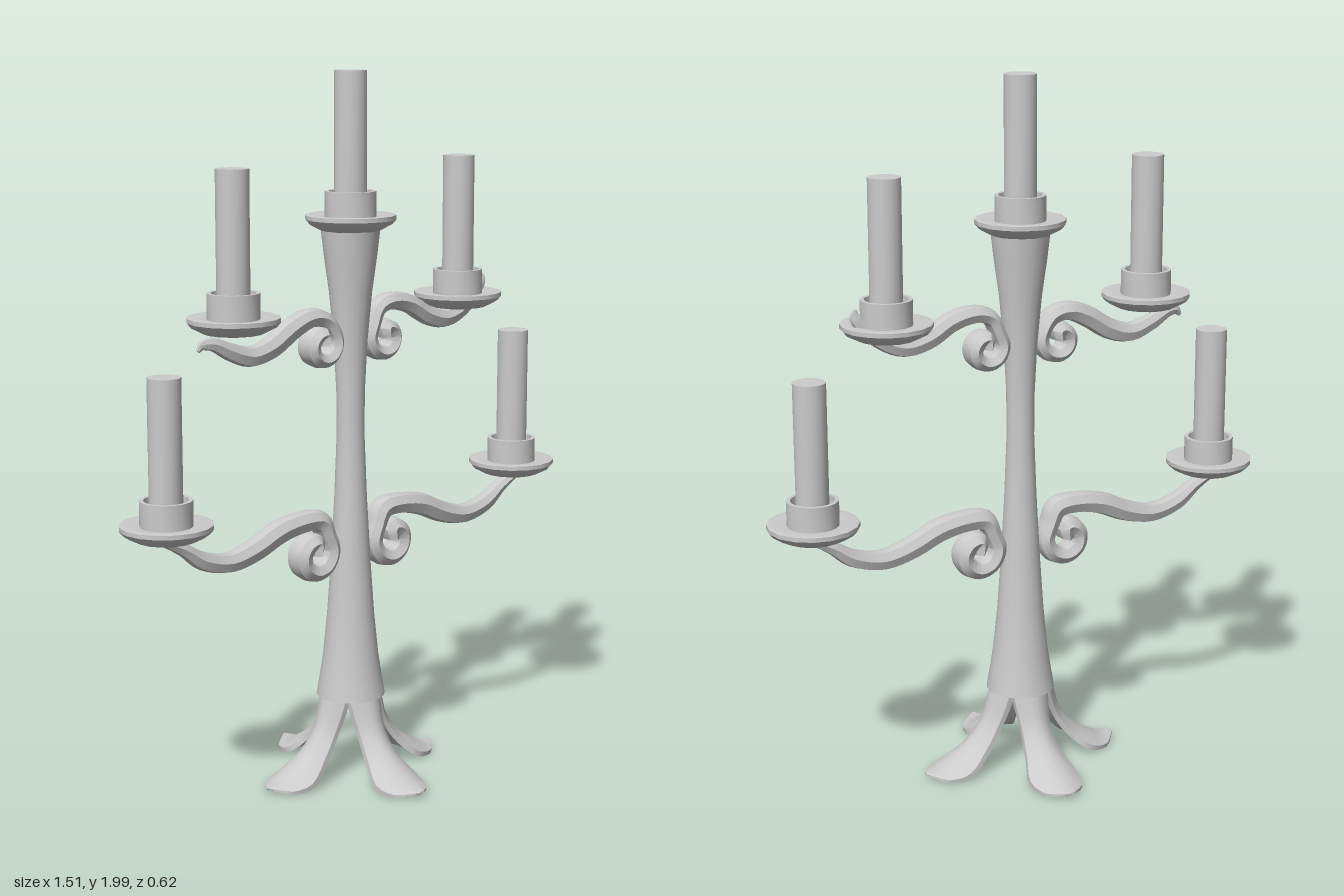
import * as THREE from 'three';
import { toCreasedNormals } from 'three/addons/utils/BufferGeometryUtils.js';

const mat = new THREE.MeshStandardMaterial({ color: 0xcccccc });
const V = (x, y, z = 0) => new THREE.Vector3(x, y, z);

function mesh(name, geo, crease = 0.6) {
  const m = new THREE.Mesh(toCreasedNormals(geo, crease), mat);
  m.name = name;
  return m;
}

function lathe(name, pts, segments) {
  return mesh(name, new THREE.LatheGeometry(pts.map(p => new THREE.Vector2(...p)), segments));
}

// Closed skin over a list of rings (arrays of Vector3), capped at both ends
function loft(rings) {
  const n = rings[0].length, pos = [], idx = [];
  rings.forEach(r => r.forEach(p => pos.push(p.x, p.y, p.z)));
  for (let i = 0; i < rings.length - 1; i++)
    for (let j = 0; j < n; j++) {
      const k = (j + 1) % n, a = i * n + j, b = i * n + k;
      idx.push(a, b, b + n, a, b + n, a + n);
    }
  [0, rings.length - 1].forEach((r, end) => {
    const c = pos.length / 3;
    const mid = rings[r].reduce((s, p) => s.add(p), V(0, 0)).divideScalar(n);
    pos.push(mid.x, mid.y, mid.z);
    for (let j = 0; j < n; j++) {
      const a = r * n + j, b = r * n + (j + 1) % n;
      idx.push(c, ...(end ? [a, b] : [b, a]));
    }
  });
  const g = new THREE.BufferGeometry();
  g.setAttribute('position', new THREE.Float32BufferAttribute(pos, 3));
  g.setIndex(idx);
  return g;
}

// Sweep in the xy plane. rows: [x, y, half thickness, half width, sag];
// section(h, w, sag) returns [along normal, along z] pairs
function sweep(rows, steps, section) {
  const path = new THREE.CatmullRomCurve3(rows.map(r => V(r[0], r[1])));
  const size = new THREE.CatmullRomCurve3(rows.map(r => V(r[2], r[3], r[4] || 0)));
  const rings = [];
  for (let i = 0; i <= steps; i++) {
    const t = i / steps, p = path.getPoint(t), d = path.getTangent(t), s = size.getPoint(t);
    rings.push(section(s.x, s.y, s.z).map(([a, b]) => V(p.x - d.y * a, p.y + d.x * a, b)));
  }
  return loft(rings);
}

// Bevelled band for the arms
const bandSection = (h, w) => [
  [h, 0], [h * 0.85, w * 0.6], [h * 0.1, w], [-h * 0.8, w * 0.7],
  [-h, 0], [-h * 0.8, -w * 0.7], [h * 0.1, -w], [h * 0.85, -w * 0.6],
];

// Curved leaf section for the feet
function leafSection(h, w, sag) {
  const us = [0, 0.35, 0.7, 1], edge = u => h * (1 - 0.6 * u * u);
  const top = u => [edge(u) - sag * u * u, w * u];
  const low = u => [-edge(u) - sag * u * u, w * u];
  const down = [...us].reverse();
  return [
    ...us.map(top), ...down.map(low),
    ...us.slice(1).map(u => low(-u)), ...down.slice(0, 3).map(u => top(-u)),
  ];
}

// Scroll rows: spiral outwards from the centre to just short of the top
function scroll(cx, cy, r) {
  const rows = [[cx, cy, r * 0.2, 0.046]];
  for (let i = 0; i <= 7; i++) {
    const a = THREE.MathUtils.degToRad(450 - i * 45);
    const k = r * (0.38 + 0.055 * i);
    rows.push([cx + k * Math.cos(a), cy + k * Math.sin(a), r * (0.32 - 0.005 * i), 0.045 - 0.0012 * i]);
  }
  return rows;
}

// Drip pan, cup and candle, standing at (x, y)
function candleHolder(name, x, y) {
  const g = new THREE.Group();
  g.name = name;
  g.add(lathe('dripPan', [[0, 0], [0.045, 0.002], [0.082, 0.008], [0.115, 0.025], [0.126, 0.038],
    [0.126, 0.05], [0.118, 0.052], [0.07, 0.045], [0, 0.045]], 16));
  g.add(lathe('cup', [[0.071, 0.04], [0.071, 0.115], [0.06, 0.115], [0.057, 0.06], [0, 0.06]], 20));
  const candle = mesh('candle', new THREE.CylinderGeometry(0.045, 0.045, 0.39, 20));
  candle.position.y = 0.245;
  g.add(candle);
  g.position.set(x, y, 0);
  return g;
}

export function createModel() {
  const model = new THREE.Group();
  model.name = 'candelabra';

  // Stem
  model.add(lathe('stem', [[0, 0.235], [0.07, 0.235], [0.098, 0.24], [0.088, 0.3], [0.079, 0.36],
    [0.067, 0.48], [0.056, 0.64], [0.046, 0.82], [0.039, 1.0], [0.04, 1.12], [0.047, 1.26],
    [0.06, 1.4], [0.074, 1.5], [0.082, 1.57], [0, 1.57]], 20));

  // Four leaf feet
  const footRows = [
    [0.068, 0.29, 0.015, 0.055, 0.018], [0.08, 0.23, 0.02, 0.054, 0.02], [0.108, 0.15, 0.018, 0.046, 0.018],
    [0.152, 0.088, 0.019, 0.055, 0.018], [0.208, 0.045, 0.02, 0.075, 0.02],
    [0.262, 0.024, 0.013, 0.058, 0.008], [0.308, 0.028, 0.004, 0.006, 0],
  ];
  for (let i = 0; i < 4; i++) {
    const foot = mesh('foot', sweep(footRows, 18, leafSection), 0.7);
    foot.rotation.y = i * Math.PI / 2;
    model.add(foot);
  }

  // Scrolled arms, all shaped towards +x; right ones are turned half round
  const lower = [...scroll(0.14, 0.675, 0.088),
    [0.115, 0.765, 0.03, 0.036], [0.175, 0.772, 0.03, 0.035], [0.26, 0.757, 0.032, 0.034],
    [0.34, 0.722, 0.031, 0.032], [0.43, 0.701, 0.028, 0.03], [0.52, 0.722, 0.025, 0.027],
    [0.58, 0.762, 0.018, 0.024], [0.64, 0.79, 0.01, 0.02]];
  const upperLeft = [...scroll(0.112, 1.262, 0.073),
    [0.095, 1.345, 0.022, 0.034], [0.14, 1.36, 0.025, 0.034], [0.21, 1.347, 0.027, 0.032],
    [0.28, 1.308, 0.028, 0.03], [0.35, 1.292, 0.027, 0.028], [0.415, 1.312, 0.022, 0.024],
    [0.465, 1.35, 0.018, 0.018], [0.495, 1.39, 0.016, 0.01], [0.494, 1.41, 0.006, 0.004]];
  const upperRight = [...scroll(0.112, 1.262, 0.073),
    [0.1, 1.33, 0.024, 0.034], [0.15, 1.338, 0.027, 0.034], [0.21, 1.315, 0.03, 0.032],
    [0.28, 1.272, 0.03, 0.03], [0.35, 1.254, 0.028, 0.028], [0.42, 1.275, 0.024, 0.024],
    [0.475, 1.3, 0.018, 0.018], [0.505, 1.3, 0.014, 0.01], [0.52, 1.285, 0.005, 0.004]];
  const arms = [['lowerLeftArm', lower, 0], ['lowerRightArm', lower, Math.PI],
    ['upperLeftArm', upperLeft, 0], ['upperRightArm', upperRight, Math.PI]];
  for (const [name, rows, turn] of arms) {
    const arm = mesh(name, sweep(rows, 64, bandSection), 0.55);
    arm.rotation.y = turn;
    model.add(arm);
  }

  // Candle holders
  model.add(candleHolder('centreHolder', 0, 1.56));
  for (const [side, s] of [['Left', 1], ['Right', -1]]) {
    model.add(candleHolder('lower' + side + 'Holder', 0.63 * s, 0.79));
    model.add(candleHolder('upper' + side + 'Holder', 0.403 * s, 1.315));
  }
  return model;
}
